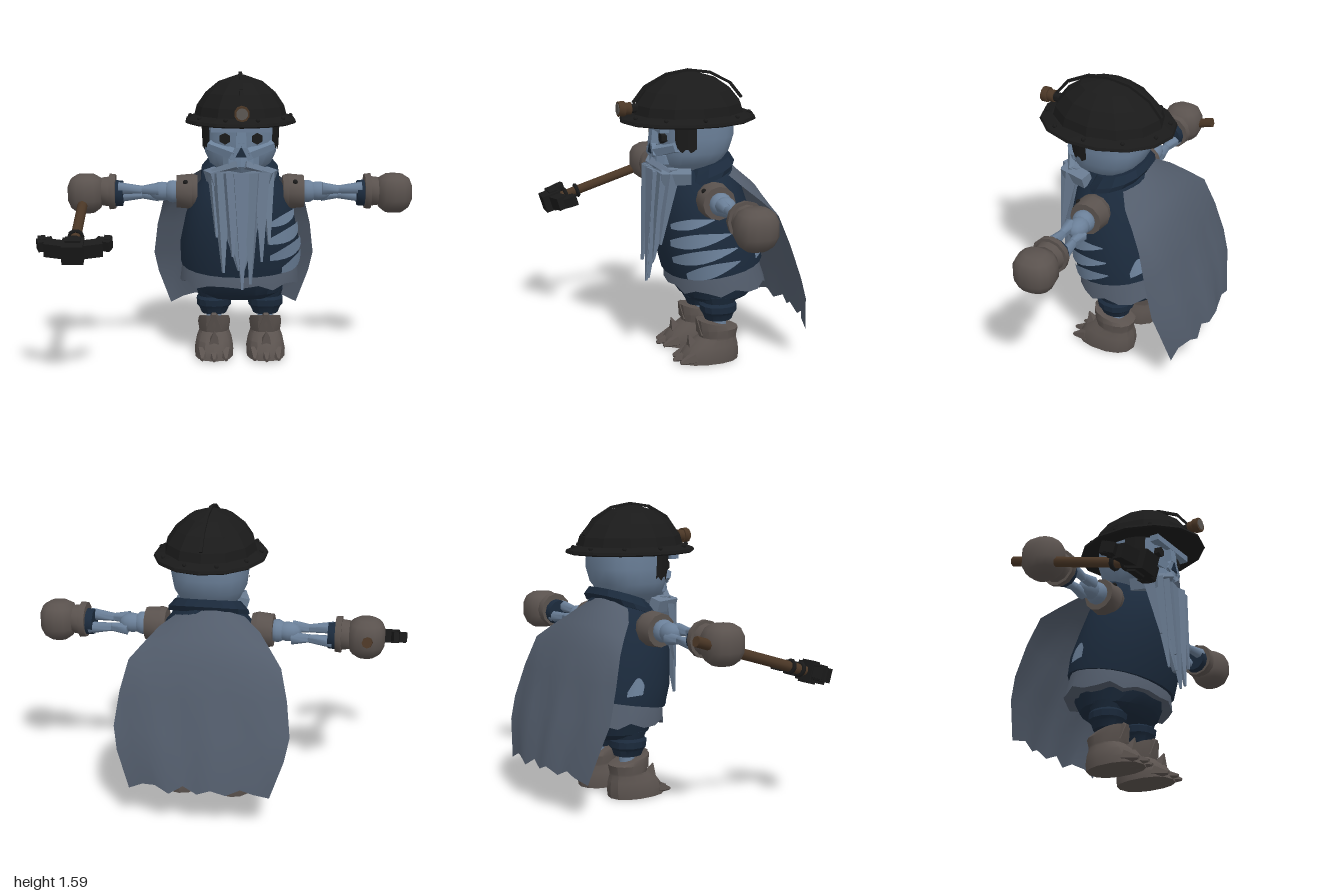
import * as THREE from 'three';
import { toCreasedNormals } from 'three/addons/utils/BufferGeometryUtils.js';

const V = (x, y, z) => new THREE.Vector3(x, y, z);
const { lerp } = THREE.MathUtils;

function makeMaterials() {
  const colors = {
    bone: 0x6b8099, beard: 0x6a7c92, navy: 0x1b2a3c, cape: 0x525c6b, leather: 0x5a524e,
    black: 0x1a1a1a, wood: 0x4b3726, lens: 0x5c5753,
  };
  const mats = {};
  for (const [name, color] of Object.entries(colors)) {
    mats[name] = new THREE.MeshStandardMaterial({ color });
    mats[name].name = name;
  }
  mats.cape.side = THREE.DoubleSide;
  return mats;
}

// Point on a body of oval rings [y, halfWidth, zFront, zBack, tilt]; angle 0 faces +z, PI/2 faces +x
function ringPoint([y, hx, zf, zb, tilt = 0], th, p, off = 0) {
  const pw = (v) => Math.sign(v) * Math.abs(v) ** (2 / p);
  const s = pw(Math.sin(th)), c = pw(Math.cos(th));
  return V((hx + off) * s, y - tilt * c, (zf + zb) / 2 + ((zf - zb) / 2 + off) * c);
}
function surfacePoint(rings, th, y, p, off) {
  let i = 0;
  while (i < rings.length - 2 && rings[i + 1][0] < y) i++;
  const a = rings[i], b = rings[i + 1], t = (y - a[0]) / (b[0] - a[0]);
  return ringPoint([0, 1, 2, 3, 4].map((k) => lerp(a[k] ?? 0, b[k] ?? 0, t)), th, p, off);
}

// Surface from rows of points
function grid(rows, closed, crease = 0.6) {
  const n = rows[0].length, pts = rows.flat(), idx = [];
  for (let i = 0; i < rows.length - 1; i++)
    for (let j = 0; j < (closed ? n : n - 1); j++) {
      const k = (j + 1) % n, a = i * n + j, b = i * n + k, c = b + n, d = a + n;
      idx.push(a, b, c, a, c, d);
    }
  if (closed) {
    const centre = (row) => row.reduce((s, q) => s.add(q), V(0, 0, 0)).divideScalar(n);
    const top = (rows.length - 1) * n, lo = pts.length;
    pts.push(centre(rows[0]), centre(rows[rows.length - 1]));
    for (let j = 0; j < n; j++) {
      const k = (j + 1) % n;
      idx.push(lo, k, j, lo + 1, top + j, top + k);
    }
  }
  const g = new THREE.BufferGeometry().setFromPoints(pts);
  g.setIndex(idx);
  return toCreasedNormals(g, crease);
}
function loft(rings, sides = 20, p = 2.4, crease = 0.6, jag = 0) {
  const rows = rings.map((r, i) => Array.from({ length: sides }, (_, j) => {
    const q = ringPoint(r, (j / sides) * Math.PI * 2, p);
    if (i === 0) q.y += jag * Math.sin(j * 2.3);
    return q;
  }));
  return grid(rows, true, crease);
}
// Thin plate lying on a lofted body
function patch(rings, p, th0, th1, low, high, off = 0.01, steps = 8) {
  const row = (f) => Array.from({ length: steps + 1 }, (_, j) =>
    surfacePoint(rings, lerp(th0, th1, j / steps), f(j / steps), p, off));
  return grid([row(low), row(high)], false);
}

export function createModel() {
  const M = makeMaterials();
  const model = new THREE.Group();
  model.name = 'undeadMiner';
  const body = new THREE.Group();
  body.name = 'body';
  body.position.x = 0.05;
  model.add(body);

  const add = (name, geo, mat, pos = [0, 0, 0], rot = [0, 0, 0], parent = body) => {
    const m = new THREE.Mesh(geo, mat);
    m.name = name;
    m.position.set(...pos);
    m.rotation.set(...rot);
    parent.add(m);
    return m;
  };
  // Tapered rod from a (radius ra) to b (radius rb); four-sided rods turn a flat face forward
  const rod = (name, a, b, ra, rb, mat, sides = 8, parent = body) => {
    const d = b.clone().sub(a);
    const g = toCreasedNormals(new THREE.CylinderGeometry(rb, ra, d.length(), sides), 0.9);
    if (sides === 4) g.rotateY(Math.PI / 4);
    const m = add(name, g, mat, a.clone().lerp(b, 0.5).toArray(), [0, 0, 0], parent);
    m.quaternion.setFromUnitVectors(V(0, 1, 0), d.normalize());
    return m;
  };
  const ball = (name, pos, r, mat, scale = [1, 1, 1]) =>
    add(name, new THREE.SphereGeometry(r, 12, 8), mat, pos).scale.set(...scale);

  // Torso, skirt, trousers and collar
  const torso = [[0.525, 0.33, 0.13, -0.4, 0.045], [0.64, 0.333, 0.165, -0.385, 0.03], [0.8, 0.3, 0.175, -0.34],
    [0.95, 0.25, 0.15, -0.29], [1.04, 0.18, 0.1, -0.24, 0.02], [1.09, 0.13, 0.05, -0.2, 0.03]];
  add('vest', loft(torso, 24, 2.15), M.navy);
  add('skirt', loft([[0.425, 0.335, 0.115, -0.42, 0.01], [0.5, 0.325, 0.11, -0.39, 0.02], [0.56, 0.31, 0.1, -0.37, 0.04]], 24, 2.2, 0.6, 0.018), M.cape);
  add('trousers', loft([[0.325, 0.19, 0, -0.28], [0.36, 0.24, 0.05, -0.34], [0.43, 0.26, 0.08, -0.375]], 20, 2.2), M.navy);
  add('collar', loft([[1.02, 0.22, 0.08, -0.22, 0.05], [1.05, 0.215, 0.07, -0.24, 0.055], [1.1, 0.175, 0.03, -0.22, 0.04]], 14, 2.4, 0.3), M.navy);

  // Bare ribs in the torn left side, with smaller tears elsewhere
  [[0.815, 0.5, 1.45, 0.045], [0.735, 0.45, 1.7, 0.06], [0.655, 0.45, 1.75, 0.06], [0.58, 0.7, 1.75, 0.065]].forEach(([y, t0, t1, w]) => {
    const mid = (t) => y - 0.035 + 0.05 * t, half = (t) => w * 0.5 * Math.sin(Math.PI * (0.12 + 0.88 * t)) + 0.003;
    add('rib', patch(torso, 2.15, t0, t1, (t) => mid(t) - half(t), (t) => mid(t) + half(t)), M.bone);
  });
  for (const [t0, t1] of [[2.15, 2.5], [-2.0, -1.7]])
    add('sideTear', patch(torso, 2.15, t0, t1, (t) => 0.57 + 0.02 * t, (t) => 0.6 + 0.08 * Math.sin(t * 2.6)), M.bone);

  // Arms and legs, mirrored
  for (const s of [1, -1]) {
    const ax = (name, x0, x1, r0, r1, mat, y = 0.92, n = 12) =>
      rod(name, V(s * x0, y, -0.05), V(s * x1, y, -0.05), r0, r1, mat, n);
    ax('shoulderPad', 0.235, 0.265, 0.09, 0.098, M.leather, 0.93);
    ax('shoulderPad', 0.265, 0.35, 0.098, 0.09, M.leather, 0.93);
    ball('padStud', [s * 0.3, 0.99, 0.018], 0.014, M.black);
    ball('shoulderBone', [s * 0.37, 0.93, -0.05], 0.062, M.bone, [0.9, 1, 1]);
    ball('elbow', [s * 0.43, 0.93, -0.055], 0.048, M.bone, [1.5, 1.1, 1.1]);
    for (const k of [1, -1]) {
      rod('forearmBone', V(s * 0.45, 0.925 + k * 0.022, -0.05 + k * 0.03), V(s * 0.54, 0.925 + k * 0.018, -0.05 + k * 0.03), 0.036, 0.023, M.bone, 7);
      rod('forearmBone', V(s * 0.54, 0.925 + k * 0.018, -0.05 + k * 0.03), V(s * 0.67, 0.925 + k * 0.028, -0.05 + k * 0.035), 0.023, 0.034, M.bone, 7);
    }
    ax('sleeve', 0.645, 0.7, 0.07, 0.075, M.navy);
    ax('gloveCuff', 0.685, 0.718, 0.096, 0.1, M.leather, 0.93);
    ax('gloveCuff', 0.718, 0.76, 0.083, 0.078, M.leather, 0.93);
    add('glove', loft([[-0.105, 0.05, 0.055, -0.055], [-0.08, 0.082, 0.088, -0.088], [-0.035, 0.101, 0.11, -0.11],
      [0.04, 0.101, 0.11, -0.11], [0.08, 0.085, 0.09, -0.09], [0.102, 0.05, 0.055, -0.055]], 14, 2.4, 0.8), M.leather, [s * 0.847, 0.922, -0.047]);

    const lx = s * 0.145;
    add('trouserLeg', loft([[0.23, 0.07, -0.05, -0.2], [0.265, 0.085, -0.035, -0.21], [0.28, 0.098, -0.025, -0.225],
      [0.315, 0.1, -0.02, -0.225], [0.33, 0.088, -0.035, -0.215], [0.37, 0.1, -0.02, -0.225]], 14, 2.2, 0.4), M.navy, [lx, 0, 0]);
    rod('shin', V(lx, 0.17, -0.13), V(lx, 0.26, -0.13), 0.045, 0.04, M.bone);
    add('boot', loft([[0, 0.108, 0.1, -0.235], [0.04, 0.11, 0.09, -0.24], [0.09, 0.1, 0.05, -0.235],
      [0.125, 0.086, 0.0, -0.225], [0.135, 0.085, -0.015, -0.225], [0.18, 0.092, -0.005, -0.235], [0.21, 0.085, 0.0, -0.215, -0.025]], 14, 2.3, 0.5), M.leather, [lx, 0, 0]);
    for (const k of [-1, 0, 1])
      rod('toeClaw', V(lx + k * 0.06, 0.036, 0.03), V(lx + k * 0.066, 0.014, 0.135 - 0.02 * Math.abs(k)), 0.04, 0.01, M.leather, 5);
    rod('bootSpike', V(lx, 0.08, 0.02), V(lx, 0.155, 0.048), 0.045, 0.003, M.leather, 4);
    rod('bootFlap', V(lx, 0.17, -0.05), V(lx, 0.245, -0.005), 0.06, 0.015, M.leather, 4);
  }

  // Cape hanging behind, bowed forward at its sides, with a ragged hem
  const capeRows = [[1.09, -0.22, 0.18], [1.03, -0.28, 0.27], [0.96, -0.36, 0.34], [0.84, -0.43, 0.405],
    [0.68, -0.485, 0.445], [0.5, -0.54, 0.468], [0.38, -0.58, 0.445], [0.2, -0.615, 0.375]];
  const hem = [-0.02, 0.015, 0.03, -0.01, 0.035, 0.0, 0.03, -0.005, 0.03, 0.01, -0.02];
  add('cape', grid(capeRows.map(([y, z, hw], i) => hem.map((h, j) => {
    const u = 1 - j / 5;
    return V(u * hw, y - (i < 3 ? 0.05 * u * u : 0) + (i === 7 ? h : 0), z + 0.055 * u * u + (i > 4 ? 0.012 * Math.sin(j * 1.9) : 0));
  })), false, 0.7), M.cape, [-0.028, 0, 0]);

  // Skull and face
  const skull = [[1.06, 0.11, 0.12, -0.12], [1.1, 0.165, 0.16, -0.17], [1.16, 0.195, 0.175, -0.215],
    [1.24, 0.206, 0.18, -0.24], [1.34, 0.206, 0.19, -0.235]];
  add('skull', loft(skull, 18, 2.5), M.bone);
  add('brow', new THREE.BoxGeometry(0.32, 0.035, 0.05), M.bone, [0, 1.3, 0.185]);
  add('upperJaw', loft([[1.06, 0.07, 0.19, 0.05], [1.1, 0.1, 0.215, 0.05], [1.15, 0.1, 0.21, 0.05], [1.18, 0.06, 0.2, 0.05]], 10, 2.6, 0.3), M.bone);
  rod('noseBridge', V(0, 1.2, 0.19), V(0, 1.31, 0.18), 0.04, 0.035, M.bone, 4);
  const nose = new THREE.Shape([[-0.03, 1.15], [0.03, 1.15], [0, 1.21]].map(([x, y]) => new THREE.Vector2(x, y)));
  add('noseHole', new THREE.ExtrudeGeometry(nose, { depth: 0.006, bevelEnabled: false }), M.navy, [0, 0, 0.212]);
  for (const s of [1, -1]) {
    rod('noseRim', V(s * 0.05, 1.14, 0.2), V(s * 0.005, 1.225, 0.205), 0.022, 0.015, M.bone, 4);
    rod('cheekbone', V(s * 0.03, 1.16, 0.19), V(s * 0.17, 1.205, 0.12), 0.035, 0.03, M.bone, 5);
    rod('moustache', V(s * 0.02, 1.11, 0.21), V(s * 0.15, 1.065, 0.15), 0.025, 0.018, M.beard, 4);
    rod('eyeSocket', V(s * 0.085, 1.245, 0.15), V(s * 0.085, 1.245, 0.186), 0.034, 0.03, M.black, 6);
    const [a, b] = s > 0 ? [0.85, 1.42] : [-1.42, -0.85];
    add('sideburn', patch(skull, 2.5, a, b, (t) => 1.185 + 0.012 * Math.sin(t * 14), () => 1.335, 0.008), M.black);
    rod('beardSide', V(s * 0.12, 1.04, 0.19), V(s * 0.165, 1.04, 0.04), 0.05, 0.045, M.beard, 4);
  }

  // Beard: tapering mass and pointed strands [rootX, tipX, tipY, radius, z]
  add('beardMass', loft([[0.54, 0.02, 0.235, 0.2], [0.7, 0.075, 0.228, 0.16], [0.85, 0.115, 0.222, 0.13], [0.98, 0.145, 0.21, 0.105], [1.08, 0.15, 0.19, 0.08]], 10, 2.6, 0.2), M.beard);
  [[0, 0.005, 0.44, 0.065, 0.205], [-0.06, -0.045, 0.62, 0.062, 0.205], [-0.11, -0.095, 0.53, 0.06, 0.195], [-0.14, -0.13, 0.72, 0.045, 0.17],
    [0.06, 0.05, 0.47, 0.062, 0.205], [0.11, 0.11, 0.59, 0.06, 0.195], [0.14, 0.15, 0.68, 0.045, 0.17]].forEach(([x0, x1, y, r, z]) =>
    rod('beardStrand', V(x0, 1.06, z - 0.03), V(x1, y, z + 0.038), r, 0.008, M.beard, 4));

  // Helmet with brim, crest, rivets and lamp
  add('helmetDome', loft([[1.34, 0.255, 0.31, -0.315], [1.41, 0.237, 0.29, -0.295], [1.48, 0.19, 0.237, -0.237],
    [1.54, 0.118, 0.155, -0.15], [1.573, 0.02, 0.04, -0.04]], 12, 2, 0.25), M.black);
  add('helmetBrim', loft([[1.318, 0.295, 0.365, -0.365], [1.325, 0.305, 0.378, -0.375], [1.34, 0.3, 0.37, -0.37], [1.362, 0.25, 0.31, -0.31]], 14, 2, 0.25), M.black);
  const crest = [[0.305, 1.43], [0.24, 1.51], [0.12, 1.57], [0, 1.588], [-0.125, 1.57], [-0.24, 1.51], [-0.305, 1.43]];
  for (let i = 0; i < crest.length - 1; i++) {
    const [[z0, y0], [z1, y1]] = [crest[i], crest[i + 1]];
    add('helmetCrest', new THREE.BoxGeometry(0.018, 0.014, Math.hypot(z1 - z0, y1 - y0) + 0.006), M.black,
      [0, (y0 + y1) / 2 - 0.005, (z0 + z1) / 2], [Math.atan2(y1 - y0, z0 - z1), 0, 0]);
  }
  for (let i = 0; i < 10; i++) {
    const q = ringPoint([1.355, 0.272, 0.335, -0.335], ((i + 0.5) / 10) * Math.PI * 2, 2);
    add('rivet', new THREE.SphereGeometry(0.012, 6, 4), M.black, q.toArray());
  }
  rod('lampMount', V(0, 1.395, 0.25), V(0, 1.395, 0.325), 0.025, 0.025, M.black, 10);
  rod('lampBase', V(0, 1.395, 0.32), V(0, 1.395, 0.355), 0.033, 0.033, M.wood, 10);
  rod('lampBody', V(0, 1.395, 0.355), V(0, 1.395, 0.39), 0.041, 0.041, M.wood, 10);
  rod('lampLens', V(0, 1.395, 0.385), V(0, 1.395, 0.394), 0.031, 0.031, M.lens, 10);

  // Pickaxe in the right hand, its own y running along the handle
  const pick = new THREE.Group();
  pick.name = 'pickaxe';
  pick.position.set(-0.81, 0.9, -0.05);
  pick.rotation.x = 1.865;
  model.add(pick);
  rod('handle', V(0, -0.185, 0), V(0, 0.6, 0), 0.028, 0.028, M.wood, 8, pick);
  for (const y of [0.47, 0.54])
    add('handleRing', new THREE.TorusGeometry(0.032, 0.012, 6, 10), M.black, [0, y, 0], [Math.PI / 2, 0, 0], pick);
  add('pickBlock', new THREE.BoxGeometry(0.11, 0.11, 0.1), M.black, [0, 0.63, 0], [0, 0, 0], pick);
  add('pickSocket', new THREE.BoxGeometry(0.08, 0.05, 0.12), M.black, [0, 0.61, 0], [0, 0, 0], pick);
  for (const s of [1, -1]) {
    add('pickArm', new THREE.BoxGeometry(0.11, 0.065, 0.075), M.black, [s * 0.09, 0.605, 0], [0, 0, -s * 0.25], pick);
    add('pickTip', new THREE.BoxGeometry(0.08, 0.05, 0.055), M.black, [s * 0.15, 0.555, 0], [0, 0, s * 0.35], pick);
    add('pickEnd', new THREE.BoxGeometry(0.04, 0.045, 0.06), M.black, [s * 0.168, 0.535, 0], [0, 0, s * 0.2], pick);
  }
  return model;
}
